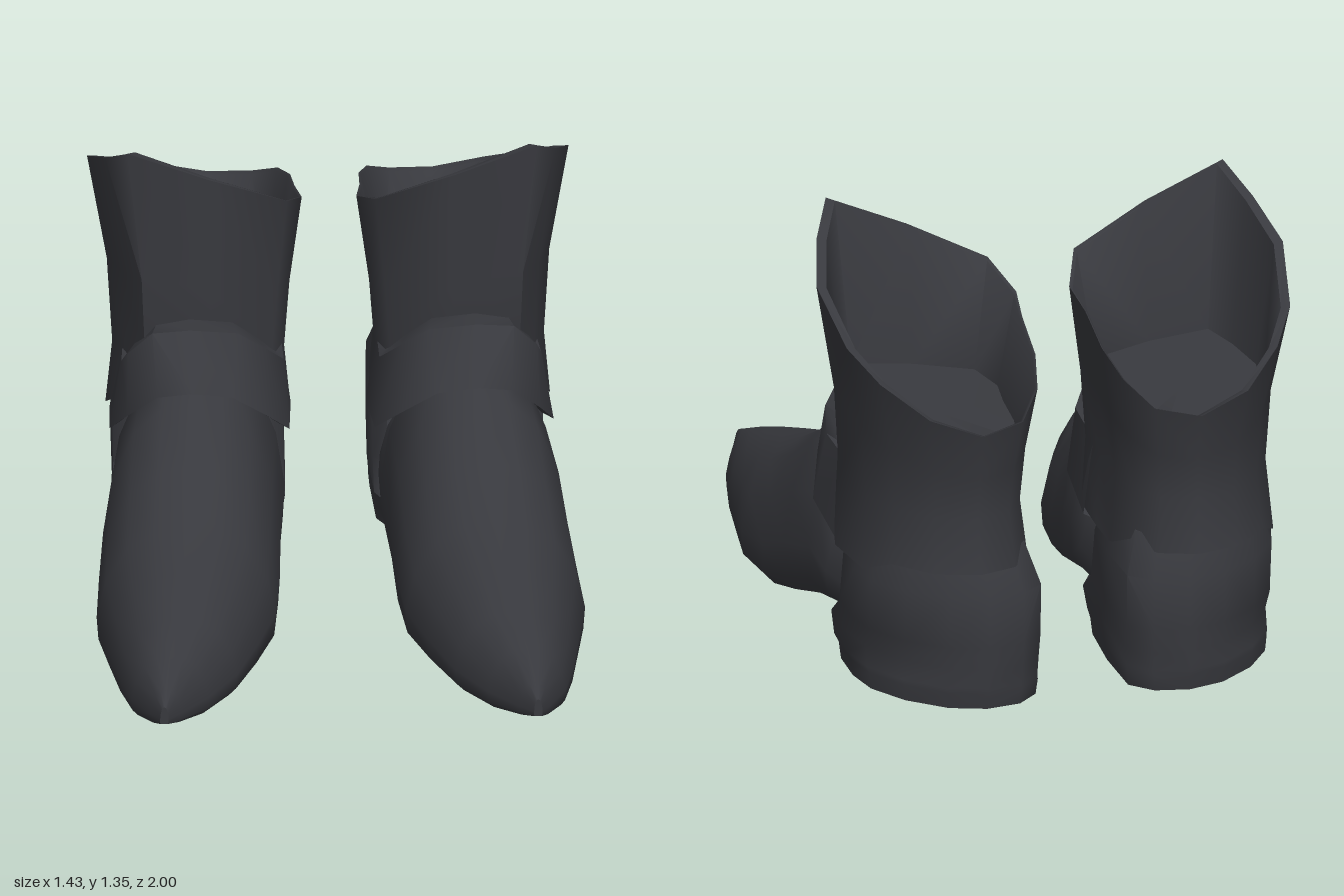
import * as THREE from 'three';
import { toCreasedNormals } from 'three/addons/utils/BufferGeometryUtils.js';

const leather = new THREE.MeshStandardMaterial({ color: 0x38393e, side: THREE.DoubleSide });
leather.name = 'charcoal leather';

// Skins a stack of equal-length rings of [x, y, z]; side -1 mirrors it in x.
function loft(name, rings, side, { closed = true, capStart = false, capEnd = false, crease = 1.2 } = {}) {
  const n = rings[0].length;
  const points = rings.flat();
  const index = [];
  const tri = (a, b, c) => (side > 0 ? index.push(a, b, c) : index.push(a, c, b));
  const steps = closed ? n : n - 1;
  for (let i = 0; i < rings.length - 1; i++) {
    for (let j = 0; j < steps; j++) {
      const a = i * n + j, b = i * n + ((j + 1) % n);
      tri(a, b, b + n);
      tri(a, b + n, a + n);
    }
  }
  const cap = (i, flip) => {
    const centre = [0, 1, 2].map((k) => rings[i].reduce((s, p) => s + p[k], 0) / n);
    const c = points.push(centre) - 1;
    for (let j = 0; j < n; j++) {
      const a = i * n + j, b = i * n + ((j + 1) % n);
      if (flip) tri(b, a, c); else tri(a, b, c);
    }
  };
  if (capStart) cap(0, true);
  if (capEnd) cap(rings.length - 1, false);
  const geometry = new THREE.BufferGeometry();
  geometry.setAttribute('position', new THREE.Float32BufferAttribute(points.flatMap(([x, y, z]) => [x * side, y, z]), 3));
  geometry.setIndex(index);
  const mesh = new THREE.Mesh(toCreasedNormals(geometry, crease), leather);
  mesh.name = name;
  return mesh;
}

// Completes a half outline (u >= 0) with its mirror image
const mirrorOutline = (half) => [...half, ...half.slice(1, -1).reverse().map(([u, v]) => [-u, v])];

// Pointed foot, lofted from back to toe
function foot(side) {
  const outline = mirrorOutline([[0, 0], [0.86, 0], [0.98, 0.08], [1, 0.26], [0.9, 0.55], [0.66, 0.82], [0.34, 0.96], [0, 1]]);
  // z, xMin, xMax, yMin, yMax
  const sections = [
    [-0.88, 0.24, 0.42, 0.10, 0.42],
    [-0.70, 0.16, 0.56, 0.12, 0.45],
    [-0.45, 0.15, 0.60, 0.14, 0.46],
    [-0.32, 0.14, 0.63, 0.13, 0.50],
    [-0.20, 0.14, 0.65, 0.11, 0.69],
    [-0.02, 0.16, 0.68, 0.055, 0.63],
    [0.15, 0.17, 0.70, 0.01, 0.50],
    [0.33, 0.19, 0.715, 0.005, 0.40],
    [0.50, 0.25, 0.69, 0.01, 0.34],
    [0.68, 0.32, 0.665, 0.025, 0.28],
    [0.82, 0.41, 0.635, 0.04, 0.23],
    [0.94, 0.495, 0.585, 0.075, 0.18],
    [1.0, 0.535, 0.56, 0.10, 0.155],
  ];
  const rings = sections.map(([z, x0, x1, y0, y1]) =>
    outline.map(([u, v]) => [(x0 + x1) / 2 + (u * (x1 - x0)) / 2, y0 + v * (y1 - y0), z]));
  return loft('foot', rings, side, { capStart: true, capEnd: true, crease: 0.9 });
}

// Heel block with the counter above it; its back curves towards the inner side
function heel(side) {
  // u across from inner to outer side, v from front to back
  const outline = [
    [0.5, 0], [0.9, 0.02], [1, 0.14], [1, 0.38], [0.95, 0.58], [0.8, 0.78], [0.58, 0.94],
    [0.36, 1], [0.15, 0.97], [0.02, 0.86], [0, 0.5], [0.02, 0.14], [0.1, 0.02],
  ];
  // y, xMin, xMax, zFront, zBack
  const sections = [
    [0.005, 0.13, 0.62, -0.38, -0.955],
    [0.055, 0.125, 0.625, -0.37, -0.965],
    [0.07, 0.125, 0.63, -0.33, -0.967],
    [0.13, 0.12, 0.63, -0.29, -0.97],
    [0.20, 0.12, 0.63, -0.40, -0.975],
    [0.36, 0.12, 0.63, -0.45, -0.975],
    [0.48, 0.16, 0.59, -0.46, -0.92],
  ];
  const rings = sections.map(([y, x0, x1, zf, zb]) =>
    outline.map(([u, v]) => [x0 + u * (x1 - x0), y, zf + v * (zb - zf)]));
  return loft('heel', rings, side, { capStart: true, capEnd: true, crease: 0.8 });
}

// Flared shaft with a slanted rim, a lining and an insole
function shaft(side) {
  const rim = [
    [0.60, 1.355, -0.205], [0.66, 1.28, -0.33], [0.705, 1.2, -0.5], [0.67, 1.085, -0.72], [0.60, 1.01, -0.84],
    [0.48, 0.93, -0.96], [0.33, 0.88, -1.0], [0.20, 0.90, -0.96], [0.13, 0.96, -0.86], [0.10, 1.01, -0.72],
    [0.095, 1.06, -0.55], [0.08, 1.09, -0.42], [0.13, 1.15, -0.28], [0.36, 1.255, -0.22],
  ];
  // Scales the rim about the leg axis and sets its height
  const ring = (sx, sz, zc, height) => rim.map(([x, y, z]) => [0.38 + (x - 0.39) * sx, height(y, z), zc + (z + 0.6) * sz]);
  const front = (z) => THREE.MathUtils.clamp((z + 0.45) / 0.24, 0, 1);
  const rings = [
    ring(0.86, 0.93, -0.6, (y, z) => 0.385 + 0.2 * front(z) + (z < -0.8 ? 0.05 : 0)),
    ring(0.80, 0.925, -0.575, (y, z) => 0.6 + 0.08 * front(z)),
    ring(0.85, 0.95, -0.58, (y) => 0.6 + (y - 0.6) * 0.45),
    rim,
    ring(0.94, 0.95, -0.6, (y) => y - 0.005),
    ring(0.76, 0.84, -0.6, (y) => 0.78 + (y - 0.88) * 0.15),
  ];
  return loft('shaft', rings, side, { capEnd: true });
}

// Strap wrapped over the instep
function instepStrap(side) {
  const top = [
    [0.60, 0.62, -0.47], [0.615, 0.64, -0.27], [0.60, 0.70, -0.20], [0.53, 0.79, -0.15], [0.42, 0.805, -0.135],
    [0.28, 0.79, -0.14], [0.20, 0.72, -0.18], [0.14, 0.64, -0.26], [0.14, 0.62, -0.47],
  ];
  const bottom = [
    [0.64, 0.39, -0.47], [0.65, 0.43, -0.25], [0.605, 0.53, -0.13], [0.52, 0.63, -0.05], [0.42, 0.655, -0.02],
    [0.30, 0.63, -0.04], [0.20, 0.54, -0.10], [0.125, 0.43, -0.22], [0.11, 0.39, -0.47],
  ];
  const inward = (row, d) => row.map(([x, y, z]) => [0.38 + (x - 0.38) * 0.88, y - 0.005, z - d]);
  return loft('instepStrap', [inward(top, 0.08), top, bottom, inward(bottom, 0.05)], side, { closed: false, crease: 0.7 });
}

export function createModel() {
  const model = new THREE.Group();
  model.name = 'ankleBoots';
  for (const side of [1, -1]) {
    const boot = new THREE.Group();
    boot.name = side > 0 ? 'leftBoot' : 'rightBoot';
    boot.add(foot(side), heel(side), shaft(side), instepStrap(side));
    model.add(boot);
  }
  return model;
}
